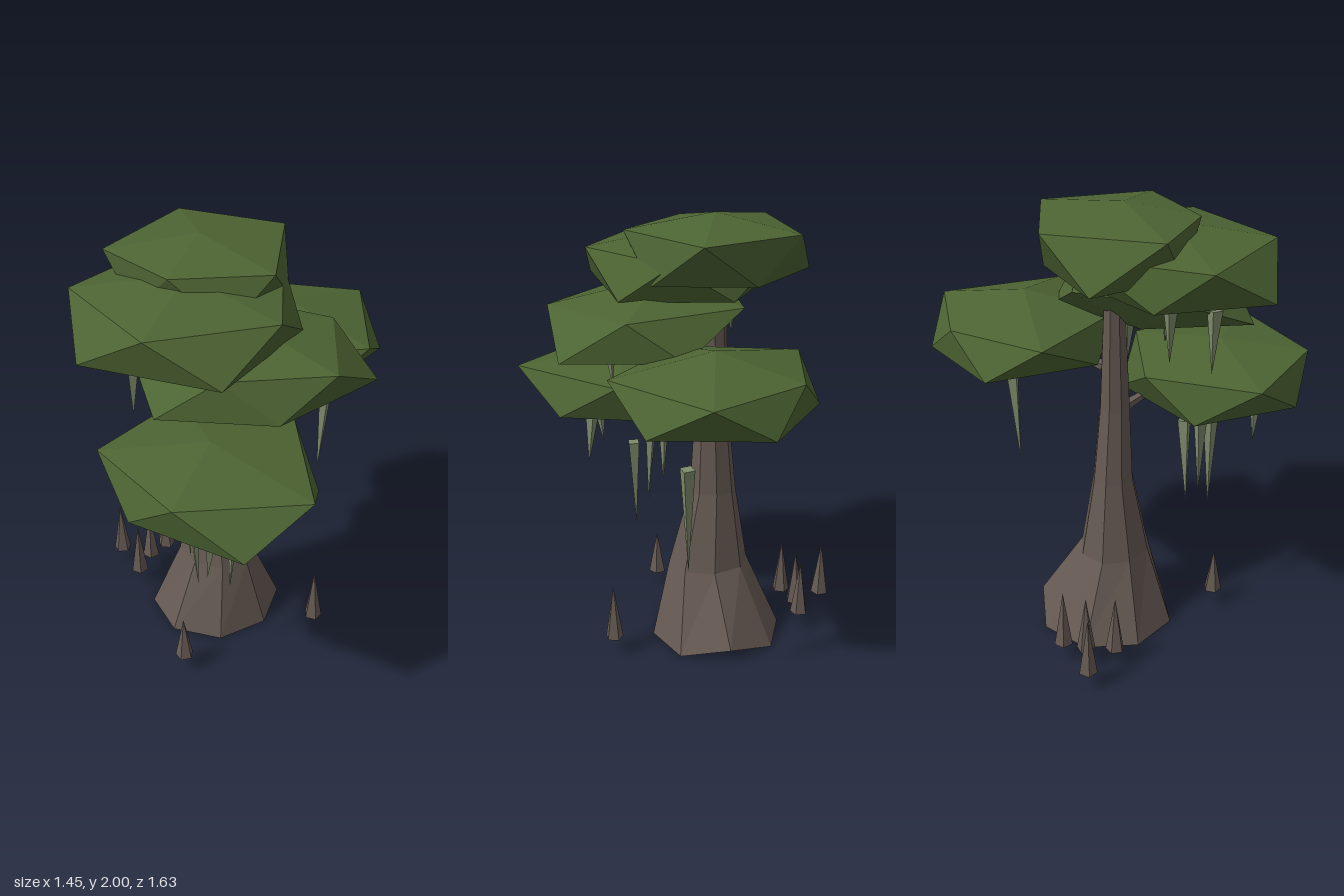
import * as THREE from 'three';
import { ConvexGeometry } from 'three/addons/geometries/ConvexGeometry.js';

const mat = (name, color) => {
  const m = new THREE.MeshStandardMaterial({ color, flatShading: true });
  m.name = name;
  return m;
};

export function createModel() {
  const bark = mat('bark brown', 0x665a53);
  const leaf = mat('leaf green', 0x4d6433);
  const moss = mat('moss green', 0x7f8b6c);
  const model = new THREE.Group();
  model.name = 'swampTree';

  const add = (name, geometry, material, x = 0, y = 0, z = 0) => {
    const mesh = new THREE.Mesh(geometry, material);
    mesh.name = name;
    mesh.position.set(x, y, z);
    model.add(mesh);
    return mesh;
  };

  // Tapered rod from a thick end to a thin end
  const rod = (name, material, from, to, thick, thin, sides) => {
    const a = new THREE.Vector3(...from), b = new THREE.Vector3(...to);
    const dir = b.clone().sub(a);
    const mid = a.add(b).multiplyScalar(0.5);
    const mesh = add(name, new THREE.CylinderGeometry(thin, thick, dir.length(), sides), material, mid.x, mid.y, mid.z);
    mesh.quaternion.setFromUnitVectors(new THREE.Vector3(0, 1, 0), dir.normalize());
  };

  // Flared, slightly leaning eight-sided trunk: [y, centre x, centre z, radius x, radius z]
  const levels = [
    [1.6, -0.115, 0.05, 0.06, 0.045],
    [1.08, -0.115, 0.052, 0.08, 0.068],
    [0.73, -0.12, 0.046, 0.108, 0.091],
    [0.36, -0.1, 0.048, 0.187, 0.158],
    [0, -0.135, 0.015, 0.307, 0.317],
  ];
  const trunk = new THREE.CylinderGeometry(1, 1, 4, 8, 4);
  const p = trunk.attributes.position;
  for (let i = 0; i < p.count; i++) {
    const [y, cx, cz, rx, rz] = levels[Math.round(2 - p.getY(i))];
    const lift = y === 0 && p.getZ(i) < -0.9 ? 0.06 : 0; // back root rises a little
    p.setXYZ(i, cx + p.getX(i) * rx, y + lift, cz + p.getZ(i) * rz);
  }
  trunk.computeVertexNormals();
  add('trunk', trunk, bark);

  // Short branches reaching toward the two low canopies
  rod('branch', bark, [-0.11, 1.25, 0.04], [-0.05, 1.29, -0.2], 0.028, 0.012, 5);
  rod('branch', bark, [-0.1, 1.05, 0.06], [0.1, 1.11, 0.2], 0.028, 0.012, 5);

  // Irregular flattened canopies: heights [bottom, low ring, high ring, top],
  // pole [x, z], and a ring of [x, z] corners alternating high and low
  const canopy = ([bottom, low, high, top], [px, pz], ring) => {
    const pts = ring.map(([x, z], i) => new THREE.Vector3(x, i % 2 ? low : high, z));
    pts.push(new THREE.Vector3(px, top, pz), new THREE.Vector3(px, bottom, pz));
    add('canopy', new ConvexGeometry(pts), leaf);
  };
  canopy([1.19, 1.285, 1.445, 1.54], [-0.03, -0.39], [
    [0.41, -0.39], [0.3, -0.66], [0.07, -0.82], [-0.19, -0.77], [-0.35, -0.595],
    [-0.475, -0.395], [-0.45, -0.15], [-0.16, -0.01], [0.06, 0], [0.3, -0.18]]);
  canopy([1, 1.083, 1.255, 1.32], [0.21, 0.44], [
    [0.725, 0.435], [0.56, 0.17], [0.32, 0.02], [0.09, 0.02], [-0.16, 0.2],
    [-0.21, 0.43], [-0.17, 0.7], [0.096, 0.81], [0.335, 0.813], [0.61, 0.72]]);
  canopy([1.4, 1.455, 1.625, 1.72], [0.09, 0.13], [
    [0.596, 0.126], [0.583, -0.187], [0.31, -0.245], [0.07, -0.287], [-0.22, -0.1],
    [-0.12, 0.17], [-0.25, 0.42], [0.07, 0.61], [0.27, 0.45], [0.48, 0.34]]);
  canopy([1.595, 1.66, 1.838, 1.91], [-0.04, 0.27], [
    [0.413, 0.25], [0.31, -0.03], [0.1, -0.17], [-0.17, -0.13], [-0.4, 0],
    [-0.45, 0.31], [-0.43, 0.54], [-0.2, 0.74], [0.096, 0.68], [0.36, 0.54]]);
  canopy([1.68, 1.74, 1.938, 2], [-0.13, 0.09], [
    [0.265, 0.1], [0.18, -0.11], [0, -0.31], [-0.25, -0.21], [-0.45, -0.15],
    [-0.557, 0.087], [-0.42, 0.35], [-0.24, 0.37], [-0.035, 0.39], [0.17, 0.28]]);

  // Hanging moss: top point, tip point
  [
    [[0.11, 1.09, -0.52], [0.1, 0.6, -0.487]],
    [[0.045, 1.03, 0.4], [0.05, 0.61, 0.4]],
    [[0.1, 0.985, 0.435], [0.12, 0.51, 0.432]],
    [[0.21, 0.89, 0.288], [0.2, 0.45, 0.31]],
    [[0.34, 1.02, 0.593], [0.315, 0.77, 0.592]],
    [[0.395, 1.05, 0.33], [0.42, 0.78, 0.33]],
    [[-0.15, 1.59, 0.485], [-0.165, 1.31, 0.485]],
    [[-0.268, 1.65, 0.33], [-0.265, 1.38, 0.33]],
    [[0.01, 1.5, 0.08], [0.01, 1.24, 0.07]],
    [[0.2, 1.5, 0.19], [0.2, 1.26, 0.19]],
    [[0.345, 1.5, 0.03], [0.335, 1.27, 0.03]],
  ].forEach(([top, tip]) => rod('hangingMoss', moss, top, tip, 0.034, 0, 4));

  // Root spikes around the trunk: x, z, tip y
  [
    [-0.53, -0.056, 0.345], [-0.538, 0.052, 0.345], [-0.685, 0.11, 0.345],
    [-0.502, 0.175, 0.345], [0.07, 0.485, 0.295], [0.375, -0.105, 0.345],
  ].forEach(([x, z, tip], i) => {
    const h = tip - 0.08;
    const spike = add('rootSpike', new THREE.ConeGeometry(0.042, h, 5), bark, x, 0.08 + h / 2, z);
    spike.rotation.y = i * 0.7;
  });

  return model;
}
